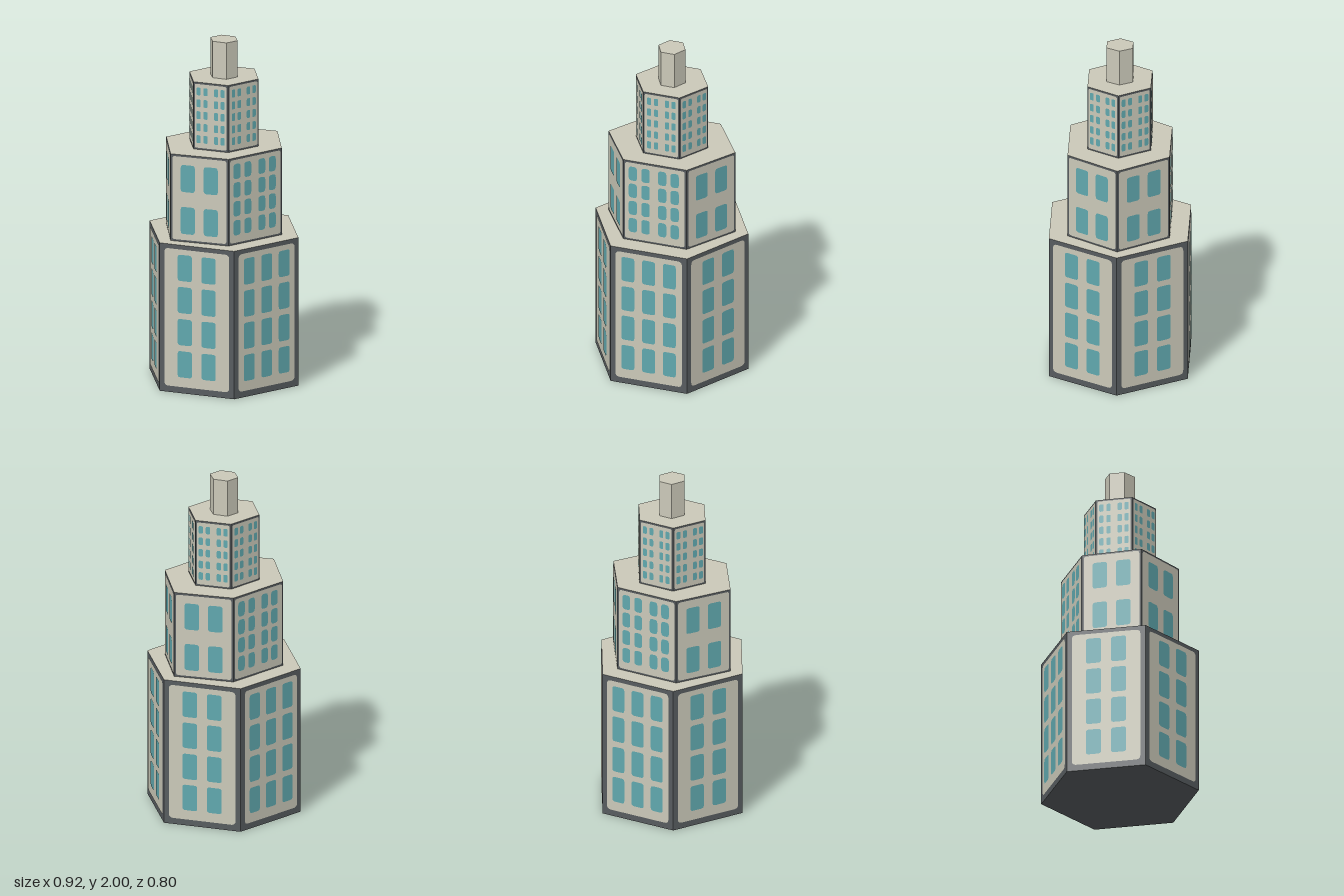
import * as THREE from 'three';

const mat = (name, color) => {
  const m = new THREE.MeshStandardMaterial({ color });
  m.name = name;
  return m;
};

// Hexagon corners: hw = half width at the points, d = half depth of the flat sides
const corners = (hw, d) => [[hw, 0], [hw / 2, d], [-hw / 2, d], [-hw, 0], [-hw / 2, -d], [hw / 2, -d]]
  .map(([x, y]) => new THREE.Vector2(x, y));

function hexPrism(hw, d, y0, y1) {
  const geo = new THREE.ExtrudeGeometry(new THREE.Shape(corners(hw, d)), { depth: y1 - y0, bevelEnabled: false });
  return geo.rotateX(-Math.PI / 2).translate(0, y0, 0);
}

// Flat plate with rounded corners, centred on (x, y)
function plate(x, y, w, h, r) {
  const s = new THREE.Shape();
  const a = w / 2, b = h / 2;
  s.moveTo(x - a + r, y - b);
  s.lineTo(x + a - r, y - b);
  s.quadraticCurveTo(x + a, y - b, x + a, y - b + r);
  s.lineTo(x + a, y + b - r);
  s.quadraticCurveTo(x + a, y + b, x + a - r, y + b);
  s.lineTo(x - a + r, y + b);
  s.quadraticCurveTo(x - a, y + b, x - a, y + b - r);
  s.lineTo(x - a, y - b + r);
  s.quadraticCurveTo(x - a, y - b, x - a + r, y - b);
  return s;
}

export function createModel() {
  const stone = mat('stone', 0xcbc9b9);
  const frame = mat('darkFrame', 0x575c5f);
  const glass = mat('tealGlass', 0x60a8ae);
  const model = new THREE.Group();
  model.name = 'steppedTower';

  const add = (parent, name, geo, material) => {
    const m = new THREE.Mesh(geo, material);
    m.name = name;
    parent.add(m);
    return m;
  };

  // Window layouts: column offsets, row centres, window size
  const small = { cols: [-0.073, -0.031, 0.034, 0.074], rows: [1.45, 1.52, 1.592, 1.662, 1.732], w: 0.025, h: 0.046, r: 0.008 };
  const tiers = [
    {
      name: 'lowerTier', hw: 0.46, d: 0.395, y0: 0.004, y1: 0.875, p0: 0.037, p1: 0.85, margin: 0.03, r: 0.025,
      front: { cols: [-0.125, 0, 0.125], rows: [0.172, 0.362, 0.552, 0.742], w: 0.078, h: 0.155, r: 0.016 },
      side: { cols: [-0.073, 0.073], rows: [0.172, 0.362, 0.552, 0.742], w: 0.088, h: 0.155, r: 0.016 },
    },
    {
      name: 'middleTier', hw: 0.382, d: 0.29, y0: 0.875, y1: 1.388, p0: 0.886, p1: 1.377, margin: 0.011, r: 0.015,
      front: { cols: [-0.132, -0.055, 0.045, 0.12], rows: [0.975, 1.087, 1.198, 1.308], w: 0.05, h: 0.09, r: 0.018 },
      side: { cols: [-0.069, 0.069], rows: [1.002, 1.25], w: 0.085, h: 0.16, r: 0.016 },
    },
    {
      name: 'upperTier', hw: 0.218, d: 0.18, y0: 1.388, y1: 1.785, p0: 1.398, p1: 1.775, margin: 0.009, r: 0.01,
      front: small, side: small,
    },
  ];

  for (const t of tiers) {
    const tier = new THREE.Group();
    tier.name = t.name;
    model.add(tier);
    // Body: stone roof, dark walls that show as a frame around each panel
    add(tier, 'body', hexPrism(t.hw, t.d, t.y0, t.y1), [stone, frame]);

    const pts = corners(t.hw, t.d);
    for (let i = 0; i < 6; i++) {
      const a = pts[i], b = pts[(i + 1) % 6];
      const mid = a.clone().add(b).multiplyScalar(0.5);
      const len = a.distanceTo(b);
      const isFront = i % 3 === 1;
      const layout = isFront ? t.front : t.side;
      // Wall is built facing +z, then turned to its outward direction
      const wall = new THREE.Group();
      wall.name = isFront ? 'flatWall' : 'angledWall';
      wall.position.set(mid.x, 0, mid.y);
      wall.rotation.y = Math.atan2(b.y - a.y, -(b.x - a.x)) * -1;
      wall.rotation.y = Math.atan2(b.y - a.y, a.x - b.x);
      tier.add(wall);

      const panel = plate(0, (t.p0 + t.p1) / 2, len - 2 * t.margin, t.p1 - t.p0, t.r);
      add(wall, 'wallPanel', new THREE.ShapeGeometry(panel, 4).translate(0, 0, 0.002), stone);
      const panes = layout.cols.flatMap(x => layout.rows.map(y => plate(x, y, layout.w, layout.h, layout.r)));
      add(wall, 'windows', new THREE.ShapeGeometry(panes, 3).translate(0, 0, 0.004), glass);
    }
  }

  // Dark underside and the plain mast on top
  add(model, 'basePlate', hexPrism(0.46, 0.395, 0, 0.004), frame);
  add(model, 'mast', hexPrism(0.081, 0.075, 1.785, 2), stone);
  return model;
}
